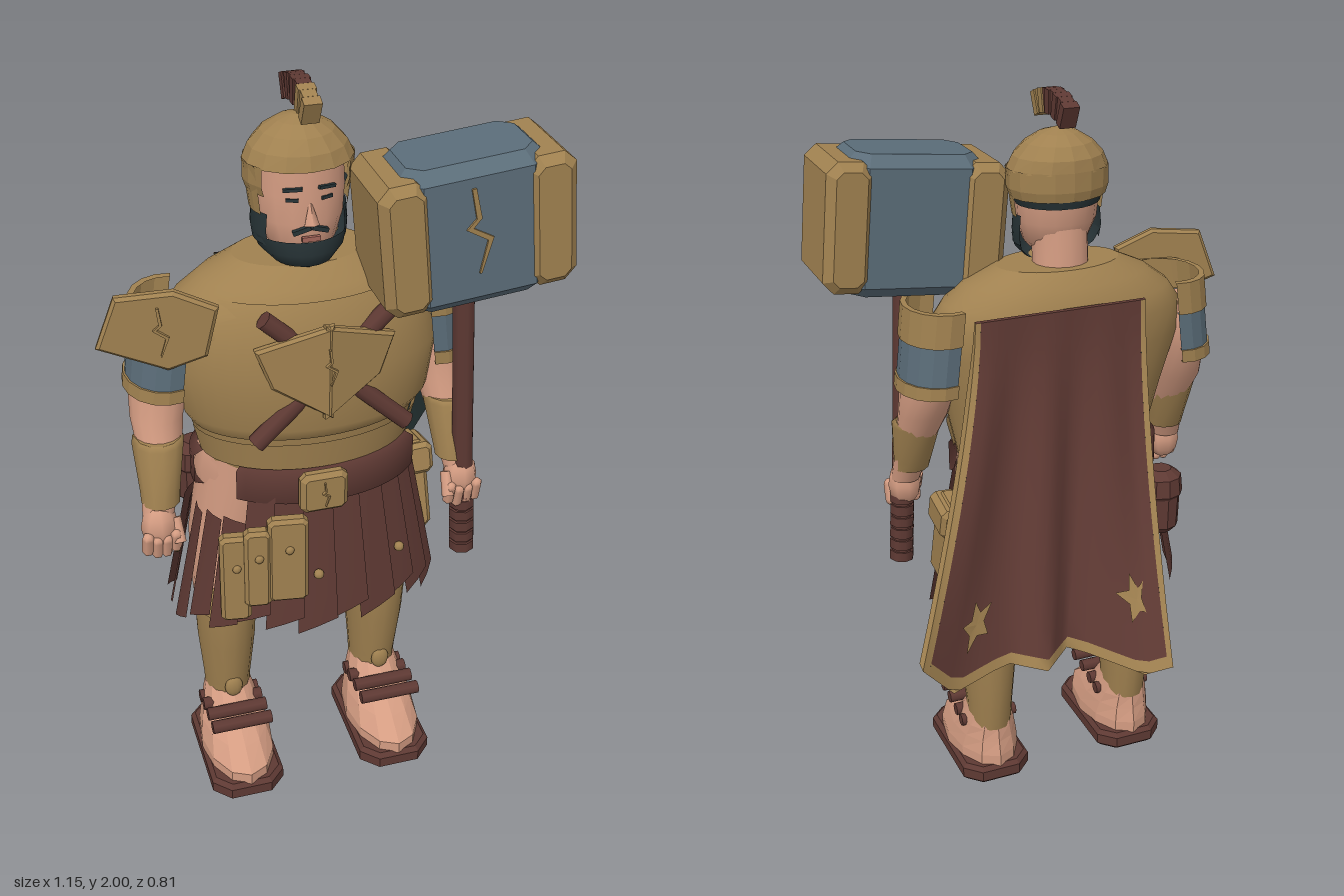
import * as THREE from 'three';

const mat = (name, color, side = THREE.DoubleSide) => Object.assign(new THREE.MeshStandardMaterial({ color, side }), { name });
const gold = mat('gold', 0xa08150), brown = mat('leather', 0x5e3933), skin = mat('skin', 0xd49c82);
const slate = mat('slate', 0x5b6d79), teal = mat('cape lining', 0x2b3b3b), hair = mat('hair', 0x273336);
const lip = mat('lips', 0xa5665a);

export function createModel() {
  const model = new THREE.Group();
  const add = (name, geo, material, pos = [0, 0, 0], rot = [0, 0, 0]) => {
    const m = new THREE.Mesh(geo, material);
    m.name = name; m.position.set(...pos); m.rotation.set(...rot);
    model.add(m);
    return m;
  };
  const deg = Math.PI / 180;

  // Skin over elliptical rings [y, cx, cz, rx, rz], bottom to top; optional arc, 0 degrees faces front
  function loft(rings, n = 20, flat = false, from = 0, to = 360) {
    const full = to - from >= 360, pos = [], idx = [], cols = full ? n : n + 1;
    const ring = ([y, cx, cz, rx, rz]) => {
      for (let j = 0; j < cols; j++) {
        const a = (from + (to - from) * j / n) * deg;
        pos.push(cx + rx * Math.sin(a), y, cz + rz * Math.cos(a));
      }
    };
    rings.forEach(ring);
    for (let i = 0; i < rings.length - 1; i++) for (let j = 0; j < n; j++) {
      const a = i * cols + j, b = i * cols + (j + 1) % cols;
      idx.push(a, b, b + cols, a, b + cols, a + cols);
    }
    if (full) [rings[0], rings[rings.length - 1]].forEach((r, k) => {
      const s = pos.length / 3;
      ring(r); pos.push(r[1], r[0], r[2]);
      for (let j = 0; j < n; j++) {
        const a = s + j, b = s + (j + 1) % n;
        k ? idx.push(a, b, s + n) : idx.push(b, a, s + n);
      }
    });
    let g = new THREE.BufferGeometry();
    g.setAttribute('position', new THREE.Float32BufferAttribute(pos, 3));
    g.setIndex(idx);
    if (flat) g = g.toNonIndexed();
    g.computeVertexNormals();
    return g;
  }
  // Flat outline with thickness and chamfered edge
  function plate(pts, depth, bevel = 0) {
    const shape = new THREE.Shape(pts.map(p => new THREE.Vector2(...p)));
    const g = new THREE.ExtrudeGeometry(shape, { depth: depth - 2 * bevel, bevelEnabled: bevel > 0, bevelSize: bevel, bevelThickness: bevel, bevelOffset: -bevel, bevelSegments: 1 });
    return g.translate(0, 0, bevel - depth / 2);
  }
  function chamferBox(w, h, d, c, bevel = c * 0.8) {
    const x = w / 2, y = h / 2;
    return plate([[c - x, -y], [x - c, -y], [x, c - y], [x, y - c], [x - c, y], [c - x, y], [-x, y - c], [-x, c - y]], d, bevel);
  }
  // Surface from a function of u and v over a patch
  function sheet(fn, nu, nv, u0 = 0, u1 = 1, v0 = 0, v1 = 1) {
    const g = new THREE.PlaneGeometry(1, 1, nu, nv), p = g.attributes.position;
    for (let i = 0; i < p.count; i++) p.setXYZ(i, ...fn(u0 + (u1 - u0) * (p.getX(i) + 0.5), v0 + (v1 - v0) * (0.5 - p.getY(i))));
    g.computeVertexNormals();
    return g;
  }
  function rod(name, a, b, r, material, sides = 8) {
    const A = new THREE.Vector3(...a), B = new THREE.Vector3(...b), d = B.clone().sub(A);
    const m = add(name, new THREE.CylinderGeometry(r, r, d.length(), sides), material);
    m.position.copy(A).add(B).multiplyScalar(0.5);
    m.quaternion.setFromUnitVectors(new THREE.Vector3(0, 1, 0), d.normalize());
    return m;
  }
  const ball = (name, p, s, material, n = 10) => add(name, new THREE.SphereGeometry(1, n, n - 2), material, p).scale.set(...s);
  const crack = s => plate([[-.1, 1], [0, 1], [.1, .3], [-.1, .1], [.35, -.2], [.05, -1], [0, -1], [.22, -.25], [-.25, .08], [-.02, .3]].map(p => [p[0] * s, p[1] * s]), 0.008);

  // Torso, breastplate and briefs
  add('torso', loft([[.98, -.03, .13, .265, .15], [1.06, -.03, .135, .28, .17], [1.2, -.035, .135, .315, .185], [1.34, -.04, .13, .355, .19], [1.42, -.04, .128, .353, .188],
    [1.47, -.04, .125, .318, .178], [1.52, -.035, .12, .255, .15], [1.56, -.035, .11, .17, .105]], 32), gold);
  add('breastplate', loft([[1.13, -.03, .14, .3, .18], [1.17, -.03, .14, .325, .205], [1.32, -.035, .135, .355, .215], [1.44, -.04, .13, .325, .195], [1.5, -.035, .13, .27, .165]], 20, false, -80, 80), gold);
  add('waistPlate', loft([[1.04, -.03, .14, .28, .18], [1.12, -.03, .14, .3, .19]], 20, false, -85, 85), gold);
  add('briefs', loft([[.68, -.035, .1, .06, .06], [.74, -.04, .1, .17, .115], [.84, -.05, .1, .235, .138], [.93, -.05, .11, .255, .145]], 20), gold);
  add('hips', loft([[.86, -.035, .12, .275, .13], [.98, -.035, .125, .29, .145], [1.04, -.035, .125, .277, .145]], 24), skin);

  // Folded chest shield over crossed batons
  for (const s of [-1, 1]) {
    rod('crossedBaton', [-.015 + s * .165, 1.48, .31], [-.015 - s * .195, 1.15, .335], .024, brown);
    add('chestShield', plate([[-.012, .1], [.18, .035], [.14, -.07], [-.012, -.16]].map(([x, y]) => [x * s, y]), .03, .008), gold, [-.03, 1.37, .356], [0, s * .22, 0]);
  }
  add('chestCrack', crack(.05), gold, [-.03, 1.36, .374]);

  // Belt, buckle and hanging pouches
  const beltRings = [[.935, -.02, .14, .27, .17], [.945, -.02, .14, .295, .2], [1.03, -.02, .14, .295, .2], [1.04, -.02, .14, .27, .17]];
  add('beltFront', loft(beltRings, 20, false, -50, 62), brown);
  add('beltBack', loft(beltRings.map(([y, x, z, rx, rz]) => [y, x - .02, z, rx, rz]), 14, false, 190, 278), brown);
  add('buckle', chamferBox(.125, .115, .04, .015), gold, [-.04, .99, .35]);
  add('buckleCrack', crack(.035), gold, [-.04, .99, .374]);
  [[-.27, .745, .33, .08, .27], [-.215, .78, .35, .07, .24], [-.137, .8, .36, .105, .26]].forEach(([x, y, z, w, h]) => {
    add('beltTablet', chamferBox(w, h, .04, .012), gold, [x, y, z], [0, -.15, 0]);
    ball('tabletStud', [x, y + .04, z + .022], [.012, .012, .008], gold, 8);
  });
  add('sidePouch', chamferBox(.06, .26, .11, .015), gold, [.29, .8, .11], [-.2, 0, .05]);
  add('sidePouchFlap', chamferBox(.075, .09, .12, .015), gold, [.295, .88, .1], [-.2, 0, .05]);
  add('rearPouch', chamferBox(.09, .16, .05, .015), gold, [.2, .845, -.025]);
  const pouch = [[.77, .035], [.79, .053], [.88, .056], [.89, .063], [.94, .058], [.96, .03]];
  add('roundPouch', loft(pouch.map(([y, r]) => [y, -.295, -.015, r, r]), 10, true), brown);

  // Pleated leather skirt, open behind and cut low on the right hip
  const strips = 15;
  for (let i = 0; i < strips; i++) {
    const a0 = -112 + i * 14.4, mid = Math.cos(a0 * deg), hemY = .595 + .025 * mid - (i * 7 % 5) * .01, top = a0 < -52 ? .885 : .97;
    add('skirtStrip', sheet((u, v) => {
      const a = (a0 + u * 17) * deg, y = top + (hemY - .04 * (1 - u) - top) * v;
      const k = (.97 - y) * .2 + .022 * u;
      return [-.04 + (.275 + k) * Math.sin(a), y, .14 + (.18 + k * .55) * Math.cos(a)];
    }, 2, 5), brown);
    if (i % 3 === 1) {
      const a = (a0 + 9) * deg;
      ball('skirtStud', [-.04 + .345 * Math.sin(a), .73, .14 + .222 * Math.cos(a)], [.014, .014, .014], gold, 8);
    }
  }

  // Legs, greaves, feet and sandals
  for (const [x, hip] of [[-.255, -.185], [.18, .13]]) {
    add('thigh', loft([[.45, x, .12, .075, .09], [.58, x, .11, .085, .1], [.75, (x * 2 + hip) / 3, .105, .11, .115], [.95, hip, .115, .13, .13], [1.03, hip, .12, .12, .13]], 18), skin);
    add('greave', loft([[.17, x, .12, .062, .075], [.25, x, .12, .066, .085], [.4, x, .125, .08, .105], [.52, x, .13, .085, .11], [.565, x, .13, .084, .108]], 16), gold);
    add('kneeGuard', loft([[.52, x, .13, .088, .114], [.62, x, .13, .08, .1]], 10, false, -70, 70), gold);
    ball('greaveStud', [x, .25, .205], [.026, .034, .014], gold);
    add('foot', loft([[.05, x, .213, .1, .182], [.085, x, .213, .1, .182], [.13, x, .185, .09, .145], [.17, x, .15, .078, .105], [.24, x, .12, .058, .068]], 12, true), skin);
    add('sole', chamferBox(.205, .37, .055, .045, .012).rotateX(Math.PI / 2), brown, [x, .0275, .213]);
    [[.295, .195], [.235, .19], [.18, .18], [.135, .17]].forEach(([z, y]) =>
      rod('ankleStrap', [x - .085, y, z], [x + .085, y, z], .018, brown, 8));
  }

  // Arms with open banded sleeves, bracers and fists
  for (const [s, c, hx] of [[-1, .4, .45], [1, .315, .36]]) {
    add('arm', loft([[.93, s * hx, .265, .04, .04], [1.08, s * (c + .025), .21, .055, .055], [1.17, s * (c + .02), .155, .068, .068], [1.28, s * (c + .005), .13, .08, .085], [1.36, s * (c - .005), .125, .078, .082], [1.41, s * (c - .015), .122, .05, .055]], 16), skin);
    add('bracer', loft([[.97, s * (hx - .012), .25, .05, .05], [1.0, s * (hx - .014), .24, .052, .055], [1.12, s * (c + .028), .2, .067, .07], [1.13, s * (c + .026), .195, .058, .06]], 12), gold);
    const from = s > 0 ? -15 : 165;
    [[1.25, 1.285, gold, .005], [1.285, 1.39, slate, 0], [1.39, 1.48, gold, .005]].forEach(([y0, y1, m, e]) => {
      const cx = y => s * (c - .005 - (y - 1.25) * .12), rx = .098 + e;
      add('sleeveBand', loft([[y0, cx(y0), .135, rx - .015, .105], [y0, cx(y0), .135, rx, .12 + e], [y1, cx(y1), .135, rx, .12 + e], [y1, cx(y1), .135, rx - .015, .105]], 10, true, from, from + 210), m);
    });
    ball('palm', [s * hx, .91, .275], [.048, .065, .045], skin, 8);
    for (let f = 0; f < 4; f++)
      add('finger', new THREE.CapsuleGeometry(.016, .045, 3, 6), skin, [s * (hx + .036 - f * .024), .875 - (f % 3 ? .012 : 0), .302], [.25, 0, 0]);
    rod('thumb', [s * (hx - .04), .93, .28], [s * (hx - .045), .875, .315], .016, skin);
  }

  // Angular shoulder plate
  add('shoulderPlate', plate([[-.15, -.035], [-.1, .1], [.04, .112], [.145, .065], [.115, -.065], [.02, -.1]], .03, .008), gold, [-.42, 1.45, .248], [0, -.2, 0]);
  add('shoulderCrack', crack(.065), gold, [-.42, 1.46, .267], [0, -.2, 0]);

  // Head, face and beard
  const hx = -.04;
  add('neck', loft([[1.5, hx, .1, .085, .075], [1.56, hx, .1, .075, .07], [1.66, hx, .11, .075, .075]], 14), skin);
  add('head', loft([[1.57, hx, .155, .045, .05], [1.61, hx, .14, .085, .085], [1.67, hx, .13, .106, .1], [1.74, hx, .125, .112, .104], [1.83, hx, .122, .108, .104]], 16), skin);
  add('nose', new THREE.ConeGeometry(.02, .065, 5), skin, [hx, 1.705, .23], [-.2, 0, 0]);
  for (const s of [-1, 1]) {
    add('eyebrow', new THREE.BoxGeometry(.046, .008, .009), hair, [hx + s * .042, 1.762, .223], [0, s * .35, -s * .1]);
    add('eye', new THREE.BoxGeometry(.03, .008, .009), hair, [hx + s * .042, 1.735, .22], [0, s * .35, 0]);
    add('moustache', new THREE.BoxGeometry(.045, .011, .014), hair, [hx + s * .022, 1.66, .231], [0, s * .2, -s * .35]);
    add('sideburn', loft([[1.61, hx, .13, .115, .107], [1.645, hx, .125, .119, .108], [1.69, hx, .125, .115, .106]], 5, false, s > 0 ? 55 : -105, s > 0 ? 105 : -55), hair);
  }
  add('beard', loft([[1.55, hx, .165, .03, .045], [1.565, hx, .158, .075, .078], [1.595, hx, .142, .106, .102], [1.63, hx, .13, .117, .11]], 14, false, -105, 105), hair);
  add('mouth', new THREE.BoxGeometry(.045, .012, .009), lip, [hx, 1.638, .236]);

  // Helmet with a floating crest
  add('helmetDome', loft([[1.805, hx, .122, .136, .114], [1.84, hx, .118, .12, .106], [1.872, hx, .115, .09, .083], [1.895, hx, .113, .052, .05], [1.906, hx, .113, .012, .012]], 14, true), gold);
  add('helmetBack', loft([[1.735, hx, .12, .128, .106], [1.76, hx, .12, .136, .112], [1.81, hx, .122, .136, .114]], 12, true, 52, 308), gold);
  add('hairline', loft([[1.715, hx, .122, .112, .1], [1.74, hx, .122, .122, .106]], 12, false, 85, 275), hair);
  for (const s of [-1, 1])
    add('cheekGuard', loft([[1.685, hx, .122, .12, .108], [1.81, hx, .122, .137, .115]], 3, true, s > 0 ? 62 : -98, s > 0 ? 98 : -62), gold);
  for (let i = 0; i < 9; i++) {
    const a = (i - 4) * 6.3 * deg;
    add('crestSegment', new THREE.BoxGeometry(i % 2 ? .036 : .044, .062, .025), i > 5 ? gold : brown, [-.037, 1.768 + .2 * Math.cos(a), .13 + .2 * Math.sin(a)], [a, 0, 0]);
  }

  // Great hammer held upright
  const parts = model.children.length;
  add('hammerBlock', chamferBox(.37, .235, .37, .05, .03).rotateX(Math.PI / 2), slate);
  for (const s of [-1, 1]) add('hammerCap', chamferBox(.125, .338, .255, .03, .022), gold, [s * .18, 0, 0]);
  add('hammerCrack', crack(.11), gold, [-.01, .02, .119]);
  const hammer = new THREE.Group();
  hammer.name = 'hammerHead';
  hammer.add(...model.children.slice(parts));
  hammer.position.set(.325, 1.667, .28);
  hammer.rotation.z = .1;
  model.add(hammer);
  rod('hammerShaft', [.335, 1.52, .28], [.378, .68, .28], .029, brown, 8);
  for (let i = 0; i < 6; i++)
    rod('gripWrap', [.3665 + i * .002, .88 - i * .036, .28], [.3685 + i * .002, .852 - i * .036, .28], .035, brown, 8);

  // Swept cape with lining and gold trim
  const hem = [[-.15, .57, -.405], [-.09, .535, -.36], [.09, .61, -.255], [.18, .6, -.335], [.28, .63, -.3], [.45, .62, -.365], [.54, .73, -.4]];
  const cape = (u, v, inner = 0) => {
    const k = Math.min(u * 6, 5.999), i = Math.floor(k), f = k - i;
    const b = hem[i].map((c, j) => c + (hem[i + 1][j] - c) * f), t = inner * Math.min(1, .3 + v * 3);
    const top = -.21 + .47 * u, w = Math.pow(v, 1.5), fold = .014 * Math.sin(u * 19) * Math.sin(Math.PI * v);
    return [top + (b[0] - top) * w, 1.48 + (b[1] - 1.48) * v + t * .008, -.066 + fold + (b[2] + .066) * w + t * .026];
  };
  add('capeOuter', sheet(cape, 18, 12, .03, .97, 0, .97), brown);
  add('capeLining', sheet((u, v) => cape(u, v, 1), 18, 12), teal);
  [[0, .03, 0, 1], [.97, 1, 0, 1], [.03, .97, .97, 1]].forEach(r => add('capeTrim', sheet(cape, r[1] - r[0] > .5 ? 18 : 1, r[3] - r[2] > .5 ? 12 : 1, ...r), gold));
  for (const e of [0, 1]) {
    add('capeSideEdge', sheet((t, v) => cape(e, v, t), 1, 12), gold);
    add('capeEndEdge', sheet((u, t) => cape(u, e, t), 18, 1), e ? gold : brown);
  }
  for (const [u0, v0] of [[.17, .8], [.8, .84]])
    add('capePatch', sheet((a, r) => {
      const k = r * (Math.round(a * 10) % 2 ? .45 : 1);
      return cape(u0 + .06 * k * Math.cos(a * 2 * Math.PI), v0 + .07 * k * Math.sin(a * 2 * Math.PI), -.25);
    }, 10, 1), gold);
  return model;
}
